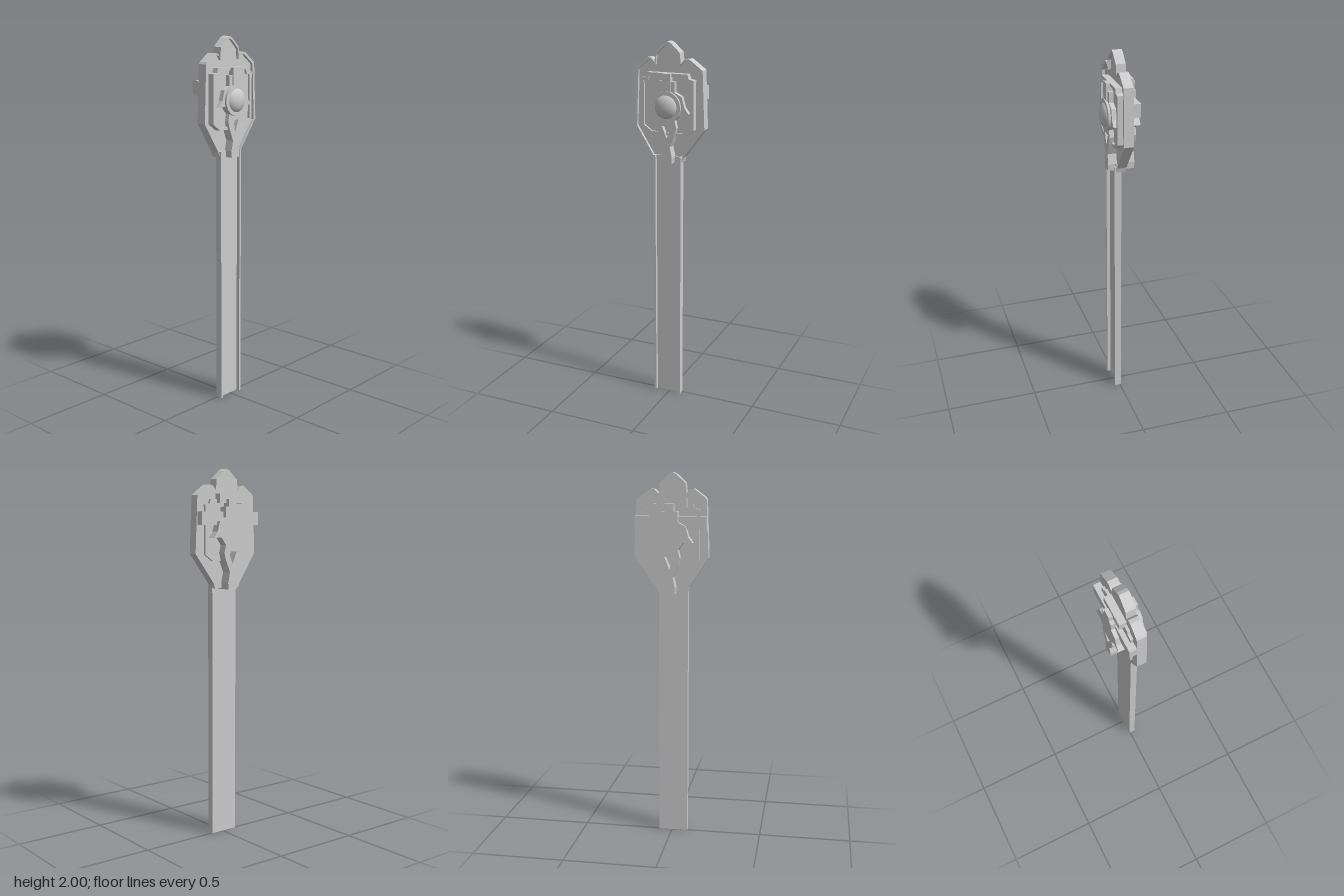
import * as THREE from 'three';

const material = new THREE.MeshStandardMaterial({ color: 0xcccccc, flatShading: true });
const smooth = new THREE.MeshStandardMaterial({ color: 0xcccccc });

const toVectors = (points) => points.map(([x, y]) => new THREE.Vector2(x, y));

// Extrudes an outline (with optional holes) between two depths
function slab(name, points, z0, z1, holes = []) {
  const shape = new THREE.Shape(toVectors(points));
  for (const hole of holes) shape.holes.push(new THREE.Path(toVectors(hole)));
  const geometry = new THREE.ExtrudeGeometry(shape, { depth: z1 - z0, bevelEnabled: false });
  geometry.translate(0, 0, z0);
  const mesh = new THREE.Mesh(geometry, material);
  mesh.name = name;
  return mesh;
}

function box(name, x0, x1, y0, y1, z0, z1) {
  const mesh = new THREE.Mesh(new THREE.BoxGeometry(x1 - x0, y1 - y0, z1 - z0), material);
  mesh.position.set((x0 + x1) / 2, (y0 + y1) / 2, (z0 + z1) / 2);
  mesh.name = name;
  return mesh;
}

// Completes a right-hand half outline (bottom to top) with its mirror image
const mirror = (half, cx = 0) => [
  ...half.map(([x, y]) => [cx + x, y]),
  ...half.slice().reverse().filter(([x]) => x !== 0).map(([x, y]) => [cx - x, y]),
];

const scaled = (points, sx, sy, y0) => points.map(([x, y]) => [x * sx, y0 + (y - y0) * sy]);

export function createModel() {
  const model = new THREE.Group();
  model.name = 'ornamentedStrap';

  // Long channel: thin floor with a lip on either edge
  const strap = new THREE.Group();
  strap.name = 'strap';
  strap.add(
    box('strapFloor', -0.088, 0.072, 0, 1.4, -0.006, 0.012),
    box('strapRightLip', -0.088, -0.076, 0, 1.4, 0.012, 0.031),
    box('strapLeftLip', 0.06, 0.072, 0, 1.4, 0.012, 0.031),
  );
  model.add(strap);

  // Crested backing plate, listed from its lower right corner round to its lower left
  const crest = [
    [0.073, 1.37], [0.08, 1.395], [0.2, 1.555], [0.187, 1.86], [0.168, 1.875], [0.112, 1.915],
    [0.088, 1.912], [0.066, 1.89], [0.06, 1.945], [0.012, 1.99], [-0.008, 2], [-0.028, 1.99],
    [-0.076, 1.945], [-0.082, 1.89], [-0.1, 1.912], [-0.122, 1.915], [-0.18, 1.872],
    [-0.188, 1.86], [-0.2, 1.555], [-0.096, 1.395], [-0.089, 1.37],
  ];
  model.add(slab('backingPlate', crest, -0.031, 0.005));

  // Raised rim, open at the bottom where it meets the strap
  const inner = scaled(crest, 0.93, 0.978, 1.37);
  model.add(slab('plateRim', [...crest, ...inner.reverse()], 0.005, 0.021));

  // Panel with cut corners, passing through the plate, and its raised border
  const panel = mirror([
    [0.1, 1.515], [0.15, 1.55], [0.15, 1.81], [0.122, 1.815], [0.115, 1.84],
  ], -0.004);
  model.add(slab('panel', panel, -0.045, 0.028));
  model.add(slab('panelBorder', panel, 0.028, 0.04, [scaled(panel, 0.88, 0.9, 1.677)]));

  // Emblem: stepped stem, round body with swept wings, forked foot
  const emblem = mirror([
    [0.028, 1.365], [0.03, 1.4], [0.018, 1.455], [0.045, 1.52], [0.055, 1.56], [0.045, 1.6],
    [0.075, 1.64], [0.123, 1.638], [0.1, 1.67], [0.085, 1.725], [0.045, 1.745], [0.045, 1.8],
    [0.024, 1.8], [0.024, 1.84],
  ]);
  const forkGap = [[-0.026, 1.565], [0.026, 1.565], [0, 1.5]];
  model.add(slab('emblem', emblem, -0.091, 0.053, [forkGap]));
  model.add(box('stemRidge', -0.023, 0.023, 1.74, 1.84, 0.05, 0.06));

  // Round collar holding the dome
  const collar = new THREE.Mesh(new THREE.CylinderGeometry(0.082, 0.082, 0.045, 32), material);
  collar.name = 'collar';
  collar.rotation.x = Math.PI / 2;
  collar.position.set(0, 1.668, 0.0425);
  model.add(collar);

  const dome = new THREE.Mesh(
    new THREE.SphereGeometry(0.066, 32, 12, 0, Math.PI * 2, 0, Math.PI / 2), smooth);
  dome.name = 'dome';
  dome.rotation.x = Math.PI / 2;
  dome.scale.y = 0.55;
  dome.position.set(0, 1.668, 0.052);
  model.add(dome);

  // Bars across the back
  model.add(box('upperBackBar', -0.088, 0.07, 1.82, 1.868, -0.07, -0.03));
  for (const [name, x0, x1] of [['leftBackBar', 0.03, 0.188], ['rightBackBar', -0.194, -0.03]]) {
    model.add(box(name, x0, x1, 1.705, 1.775, -0.07, -0.03));
  }
  return model;
}
